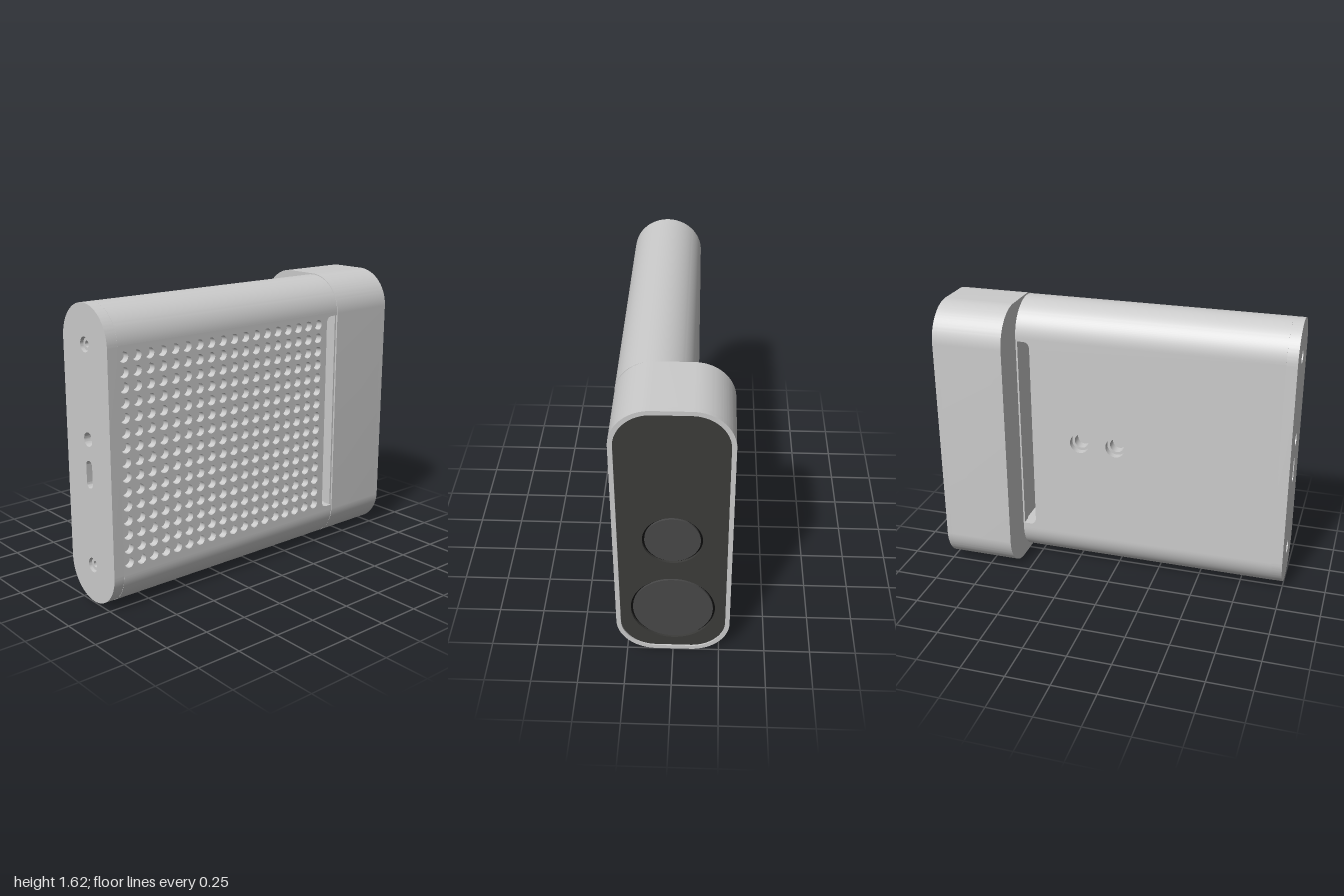
import * as THREE from 'three';
import { toCreasedNormals } from 'three/addons/utils/BufferGeometryUtils.js';

const MID_Y = 0.81, BODY_Z = 0.1025;
const grey = new THREE.MeshStandardMaterial({ color: 0xcccccc });
const panelDark = new THREE.MeshStandardMaterial({ color: 0x3b3b39 });
const lensDark = new THREE.MeshStandardMaterial({ color: 0x484848 });
const black = new THREE.MeshStandardMaterial({ color: 0x0c0c0c });

// Rounded rectangle centred on (cx, cy)
function roundRect(cx, cy, w, h, r, Type = THREE.Shape) {
  const x = w / 2, y = h / 2, s = new Type();
  s.moveTo(cx + x, cy - y + r);
  s.lineTo(cx + x, cy + y - r);
  s.absarc(cx + x - r, cy + y - r, r, 0, Math.PI / 2);
  s.lineTo(cx - x + r, cy + y);
  s.absarc(cx - x + r, cy + y - r, r, Math.PI / 2, Math.PI);
  s.lineTo(cx - x, cy - y + r);
  s.absarc(cx - x + r, cy - y + r, r, Math.PI, Math.PI * 1.5);
  s.lineTo(cx + x - r, cy - y);
  s.absarc(cx + x - r, cy - y + r, r, -Math.PI / 2, 0);
  return s;
}

function circle(cx, cy, r, Type = THREE.Path) {
  const p = new Type();
  p.absarc(cx, cy, r, 0, Math.PI * 2);
  return p;
}

function extrude(shape, depth, curveSegments) {
  return toCreasedNormals(
    new THREE.ExtrudeGeometry(shape, { depth, bevelEnabled: false, curveSegments }), 0.6);
}

export function createModel() {
  const model = new THREE.Group();

  function add(name, geometry, material = grey) {
    const mesh = new THREE.Mesh(geometry, material);
    mesh.name = name;
    model.add(mesh);
    return mesh;
  }
  // Extrude along z, between z0 and z1
  const alongZ = (name, shape, z0, z1, segs = 12) =>
    add(name, extrude(shape, z1 - z0, segs).translate(0, 0, z0));
  // Extrude along x; the shape is drawn in (-z, y)
  const alongX = (name, shape, x0, x1, material, segs = 20) =>
    add(name, extrude(shape, x1 - x0, segs).rotateY(Math.PI / 2).translate(x0, 0, 0), material);

  // Body middle: flat slab with a slot open towards the head
  function slab(holes = []) {
    const r = 0.04, x0 = -0.94, x1 = 0.585, xs = 0.505, lo = 0.23, hi = 1.4;
    const s = new THREE.Shape();
    s.moveTo(x0, 0.2);
    s.lineTo(x1, 0.2);
    s.lineTo(x1, lo);
    s.lineTo(xs + r, lo);
    s.quadraticCurveTo(xs, lo, xs, lo + r);
    s.lineTo(xs, hi - r);
    s.quadraticCurveTo(xs, hi, xs + r, hi);
    s.lineTo(x1, hi);
    s.lineTo(x1, 1.42);
    s.lineTo(x0, 1.42);
    s.holes = holes;
    return s;
  }
  const vents = [];
  for (let i = 0; i < 18; i++)
    for (let j = 0; j < 15; j++)
      vents.push(circle(-0.905 + i * 0.0788, 0.27 + j * 0.0779, 0.028));
  const mounts = r => [0, 0.215].map(x => circle(x, MID_Y, r));
  alongZ('ventPlate', slab(vents), 0.265, 0.305, 8);
  alongZ('bodyCore', slab(), 0, 0.265);
  alongZ('mountHoleStep', slab(mounts(0.042)), -0.06, 0);
  alongZ('backPlate', slab(mounts(0.058)), -0.1, -0.06);

  // Rounded top and bottom of the body
  for (const side of [1, -1]) {
    const cap = new THREE.Shape();
    const start = side > 0 ? 0 : Math.PI;
    cap.absellipse(-BODY_Z, MID_Y + side * 0.61, 0.2025, 0.195, start, start + Math.PI);
    alongX(side > 0 ? 'bodyTop' : 'bodyBottom', cap, -0.94, 0.585, grey, 32);
  }

  // End plate with ports and screw holes
  const end = roundRect(-BODY_Z, MID_Y, 0.405, 1.61, 0.2024);
  const screwYs = [0.215, 1.405];
  end.holes = [
    ...screwYs.map(y => circle(-BODY_Z, y, 0.04)),
    circle(-BODY_Z, 0.91, 0.038),
    roundRect(-BODY_Z, 0.72, 0.055, 0.15, 0.027, THREE.Path),
  ];
  alongX('endPlate', end, -1, -0.94);
  for (const y of screwYs) {
    const screw = circle(-BODY_Z, y, 0.034, THREE.Shape);
    screw.holes = [circle(-BODY_Z, y, 0.017)];
    alongX('screw', screw, -0.985, -0.94, grey, 10);
  }
  const jack = circle(-BODY_Z, 0.91, 0.012, THREE.Shape);
  alongX('jackPin', jack, -0.98, -0.94, grey, 8);

  // Thin neck in the seam between body and head
  const neck = roundRect(-BODY_Z, MID_Y, 0.385, 1.59, 0.19);
  neck.holes = [roundRect(-BODY_Z, MID_Y, 0.3, 1.17, 0.02, THREE.Path)];
  alongX('neck', neck, 0.58, 0.595);

  // Head: solid block with a thin rim round the dark face
  const HEAD = [0, MID_Y, 0.61, 1.62, 0.21], FACE = [0, MID_Y, 0.562, 1.572, 0.188];
  alongX('head', roundRect(...HEAD), 0.59, 0.97);
  const rim = roundRect(...HEAD);
  rim.holes = [roundRect(...FACE, THREE.Path)];
  alongX('headRim', rim, 0.97, 1);

  // Dark face panel with two lenses set in black grooves
  const lenses = [['smallLens', 0.805, 0.155], ['largeLens', 0.31, 0.225]];
  const panel = roundRect(...FACE);
  panel.holes = lenses.map(([, y, r]) => circle(0, y, r));
  alongX('facePanel', panel, 0.97, 0.992, panelDark, 32);
  for (const [name, y, r] of lenses) {
    alongX(name + 'Groove', circle(0, y, r, THREE.Shape), 0.968, 0.978, black, 32);
    alongX(name, circle(0, y, r - 0.012, THREE.Shape), 0.97, 0.99, lensDark, 32);
  }
  return model;
}
